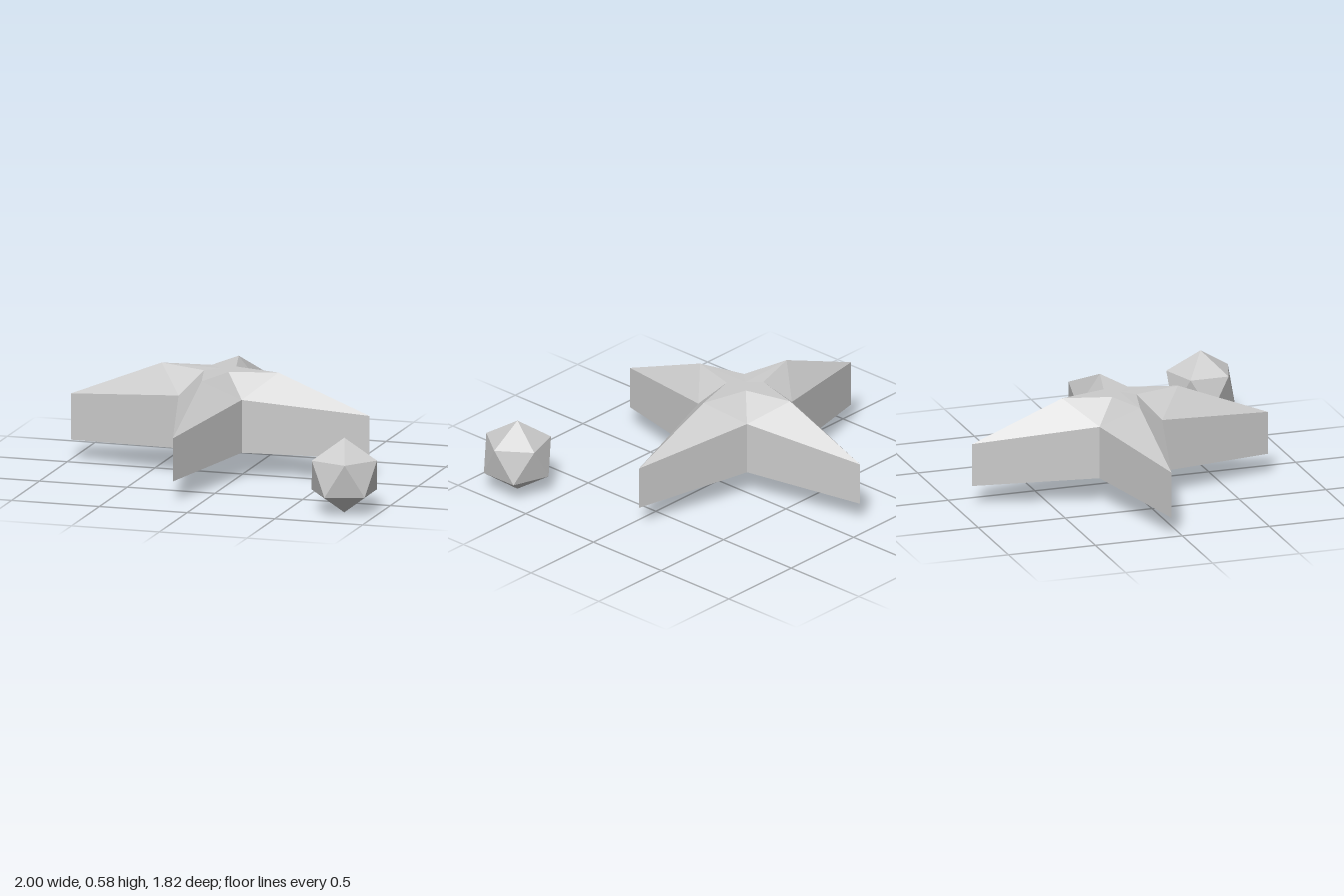
import * as THREE from 'three';

const material = new THREE.MeshStandardMaterial({ color: 0xcccccc, flatShading: true, side: THREE.DoubleSide });

// Eight-point star ring: four tips alternating with four valleys.
// leftShift nudges the height of the -x tip.
function starRing(tipRadius, valleyOffset, tipY, valleyY, leftShift) {
  const points = [];
  for (let i = 0; i < 8; i++) {
    const a = (i * Math.PI) / 4;
    const isTip = i % 2 === 0;
    const r = isTip ? tipRadius : valleyOffset * Math.SQRT2;
    const y = (isTip ? tipY : valleyY) + (i === 4 ? leftShift : 0);
    points.push(new THREE.Vector3(Math.cos(a) * r, y, -Math.sin(a) * r));
  }
  return points;
}

// Skins stacked rings (bottom to top) and closes both ends.
function loftStar(rings, bottomY, topY) {
  const corners = [];
  const n = rings[0].length;
  const bottom = new THREE.Vector3(0, bottomY, 0);
  const top = new THREE.Vector3(0, topY, 0);
  const last = rings[rings.length - 1];
  for (let i = 0; i < n; i++) {
    const j = (i + 1) % n;
    for (let k = 0; k < rings.length - 1; k++) {
      const lo = rings[k], hi = rings[k + 1];
      // Split each side along its valley-to-tip diagonal, mirrored on both sides of an arm
      if (i % 2 === 0) corners.push(lo[i], lo[j], hi[i], lo[j], hi[j], hi[i]);
      else corners.push(lo[i], lo[j], hi[j], lo[i], hi[j], hi[i]);
    }
    corners.push(bottom, rings[0][j], rings[0][i]);
    corners.push(top, last[i], last[j]);
  }
  const geometry = new THREE.BufferGeometry().setFromPoints(corners);
  geometry.computeVertexNormals();
  return geometry;
}

export function createModel() {
  const group = new THREE.Group();

  // Four-pointed star with upright walls, sloping shoulders and a small flat top
  const star = new THREE.Mesh(
    loftStar([
      starRing(0.85, 0.18, 0.12, 0.148, -0.008),
      starRing(0.85, 0.18, 0.36, 0.442, 0.01),
      starRing(0.333, 0.07, 0.566, 0.567, 0.011),
    ], 0.152, 0.568),
    material
  );
  star.name = 'star';
  star.position.set(-0.148, 0, -0.062);
  group.add(star);

  // Faceted ball standing on one corner
  const ballGeometry = new THREE.IcosahedronGeometry(0.208, 0);
  ballGeometry.rotateX(-Math.atan2((1 + Math.sqrt(5)) / 2, 1));
  ballGeometry.rotateY(Math.PI / 2);
  const ball = new THREE.Mesh(ballGeometry, material);
  ball.name = 'facetedBall';
  ball.position.set(0.812, 0.21, 0.735);
  group.add(ball);

  return group;
}
